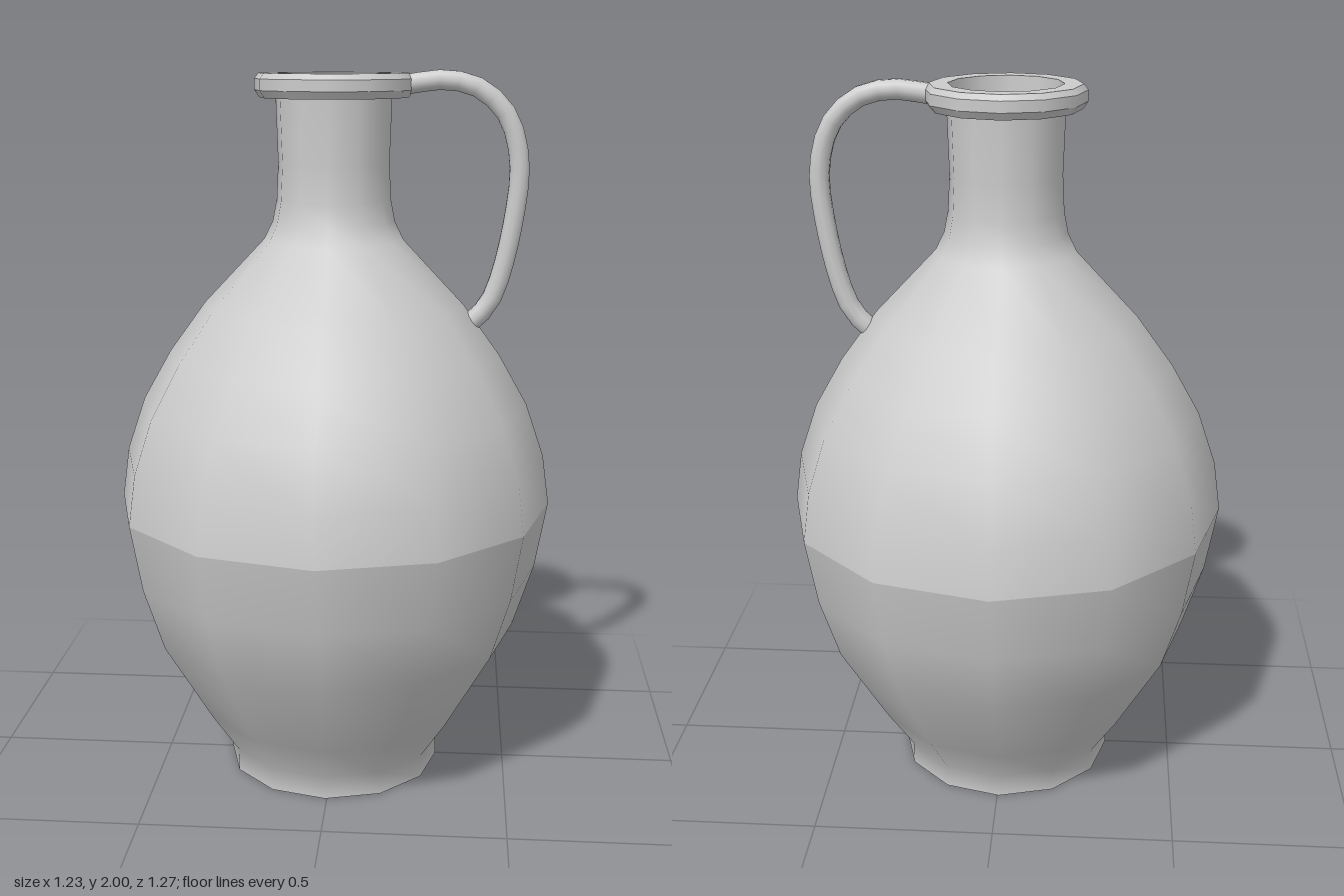
import * as THREE from 'three';

const SIDES = 12;
const material = new THREE.MeshStandardMaterial({ color: 0xcccccc, side: THREE.DoubleSide });

// Turned section from [radius, height] pairs; each section is smooth within itself
function turned(name, profile) {
  const points = profile.map(([r, y]) => new THREE.Vector2(r, y));
  const mesh = new THREE.Mesh(new THREE.LatheGeometry(points, SIDES), material);
  mesh.name = name;
  return mesh;
}

// Sharp-edged ring: one turned section per straight piece of the profile
function creasedRing(name, profile) {
  const ring = new THREE.Group();
  ring.name = name;
  for (let i = 0; i < profile.length - 1; i++) {
    ring.add(turned(name + 'Band', [profile[i], profile[i + 1]]));
  }
  return ring;
}

export function createModel() {
  const jug = new THREE.Group();
  jug.name = 'jug';

  // Vessel, slightly narrower across x than z
  const vessel = new THREE.Group();
  vessel.name = 'vessel';
  vessel.scale.x = 0.97;
  vessel.position.x = -0.005;
  jug.add(vessel);

  // Outer wall, with a crease at the widest point
  const lower = [[0.315, 0], [0.315, 0.065], [0.395, 0.18], [0.54, 0.42], [0.6, 0.6], [0.635, 0.79]];
  const upper = [[0.635, 0.79], [0.615, 0.93], [0.562, 1.08], [0.48, 1.22], [0.375, 1.36],
    [0.2, 1.54], [0.175, 1.59], [0.163, 1.65], [0.158, 1.75], [0.164, 1.925]];
  vessel.add(turned('lowerBody', lower), turned('upperBodyAndNeck', upper));

  // Rim around the mouth
  vessel.add(creasedRing('lip', [[0.164, 1.925], [0.21, 1.925], [0.224, 1.945], [0.224, 1.975],
    [0.212, 1.99], [0.16, 1.99], [0.158, 1.94], [0.142, 1.93]]));

  // Inner wall from the mouth down to the open foot
  vessel.add(turned('innerWall', [[0.142, 1.93], [0.14, 1.65], [0.17, 1.53], [0.345, 1.35],
    [0.53, 1.08], [0.605, 0.79], [0.51, 0.42], [0.36, 0.18], [0.255, 0.07]]));
  vessel.add(turned('footInside', [[0.255, 0.07], [0.315, 0]]));

  // Handle from the lip to the shoulder
  const path = new THREE.CatmullRomCurve3([
    [0.18, 1.958], [0.3, 1.972], [0.39, 1.95], [0.465, 1.88], [0.501, 1.76],
    [0.49, 1.6], [0.45, 1.42], [0.42, 1.355], [0.37, 1.305],
  ].map(([x, y]) => new THREE.Vector3(x, y, 0)));
  const handle = new THREE.Group();
  handle.name = 'handle';
  const grip = new THREE.Mesh(new THREE.TubeGeometry(path, 18, 0.028, 10), material);
  grip.name = 'grip';
  const tip = new THREE.Mesh(new THREE.SphereGeometry(0.028, 10, 6), material);
  tip.name = 'handleEnd';
  tip.position.copy(path.getPoint(1));
  tip.scale.setScalar(0.9);
  handle.add(grip, tip);
  jug.add(handle);

  return jug;
}
